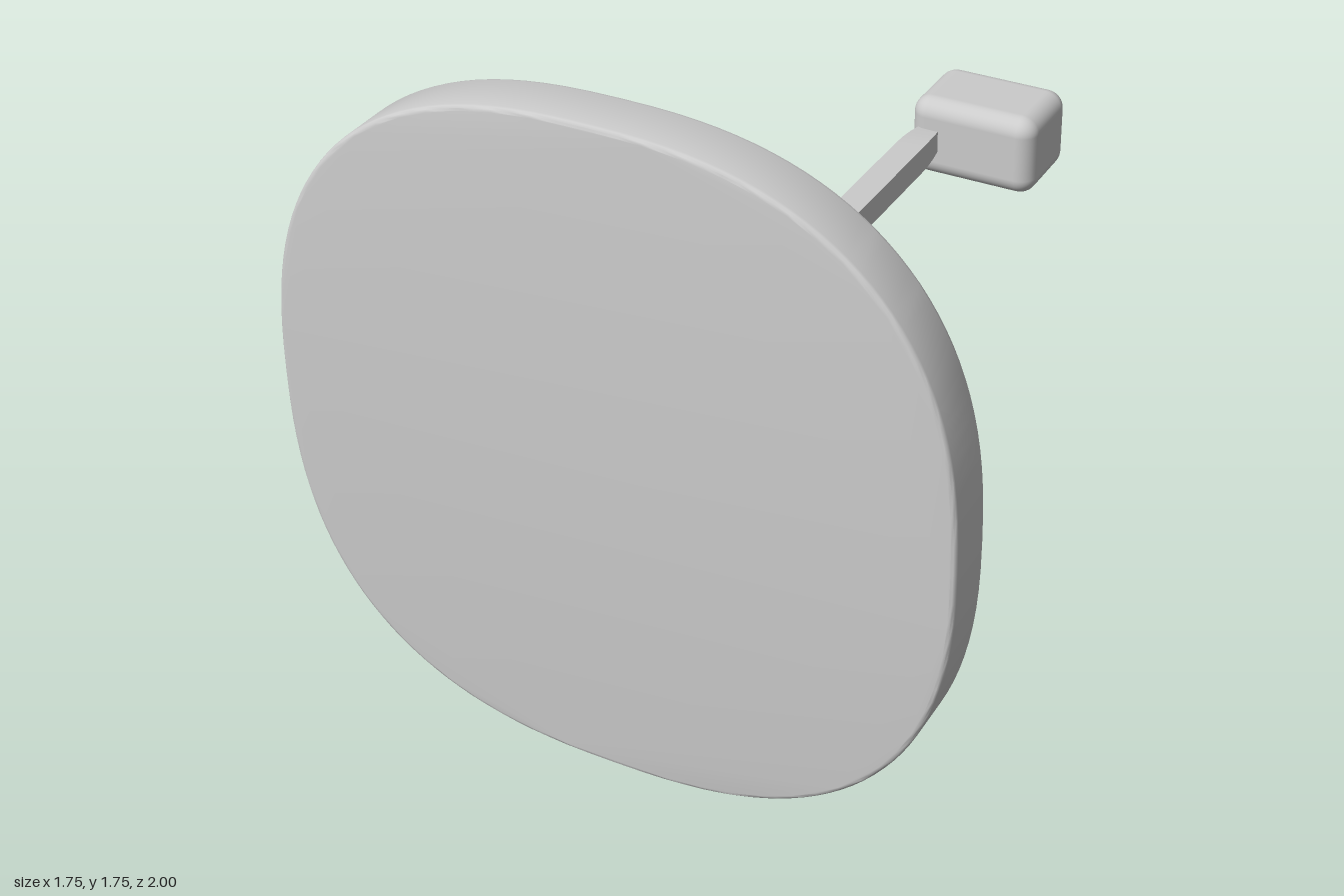
import * as THREE from 'three';
import { toCreasedNormals } from 'three/addons/utils/BufferGeometryUtils.js';
import { RoundedBoxGeometry } from 'three/addons/geometries/RoundedBoxGeometry.js';

const material = new THREE.MeshStandardMaterial({ color: 0xcccccc });
const CENTER_Y = 0.873;

function part(name, geometry, parent) {
  const mesh = new THREE.Mesh(geometry, material);
  mesh.name = name;
  parent.add(mesh);
  return mesh;
}

// Rounded-square outline as a superellipse
function superellipse(radius, power, count) {
  const points = [];
  const bend = (v) => Math.sign(v) * Math.abs(v) ** (2 / power);
  for (let i = 0; i < count; i++) {
    const a = (i / count) * Math.PI * 2;
    points.push(new THREE.Vector2(radius * bend(Math.cos(a)), radius * bend(Math.sin(a))));
  }
  return new THREE.Shape(points);
}

// Square bar along z whose last stretch at the -z end narrows a little
function taperedBar(width, length) {
  const geometry = new THREE.BoxGeometry(width, width, length, 1, 1, 40);
  const p = geometry.attributes.position;
  for (let i = 0; i < p.count; i++) {
    const fromEnd = p.getZ(i) + length / 2;
    const t = Math.max(0, 1 - fromEnd / 0.12);
    const s = 1 - 0.2 * t * t;
    p.setXY(i, p.getX(i) * s, p.getY(i) * s);
  }
  return toCreasedNormals(geometry, 0.6);
}

export function createModel() {
  const group = new THREE.Group();

  // Front panel with softened rims
  const bevel = 0.012;
  const panel = new THREE.ExtrudeGeometry(superellipse(0.873, 2.5, 128), {
    depth: 0.15 - 2 * bevel, bevelEnabled: true, bevelThickness: bevel,
    bevelSize: bevel, bevelOffset: -bevel, bevelSegments: 3, curveSegments: 1,
  });
  part('panel', toCreasedNormals(panel, 0.7), group).position.set(0, CENTER_Y, 0.85 + bevel);

  // Four struts leaning backwards out of the panel
  const inner = new THREE.Vector3(0.1, 0, 0.877);
  const outer = new THREE.Vector3(0.718, 0, 0.727);
  const run = outer.clone().sub(inner);
  const struts = new THREE.Group();
  struts.name = 'struts';
  struts.position.y = CENTER_Y;
  for (let i = 0; i < 4; i++) {
    const arm = new THREE.Group();
    arm.name = 'strutArm';
    arm.rotation.z = (i * Math.PI) / 2;
    const strut = part('strut', new RoundedBoxGeometry(run.length(), 0.037, 0.037, 2, 0.005), arm);
    strut.position.copy(inner).add(outer).multiplyScalar(0.5);
    strut.rotation.y = -Math.atan2(run.z, run.x);
    struts.add(arm);
  }
  group.add(struts);

  // Long rod reaching back from the centre
  part('rod', taperedBar(0.077, 1.62), group).position.set(0, CENTER_Y + 0.002, 0.06);

  // Rounded block at the far end, offset to one side
  part('endBlock', new RoundedBoxGeometry(0.365, 0.23, 0.255, 5, 0.05), group)
    .position.set(0.126, CENTER_Y + 0.002, -0.8725);

  return group;
}
